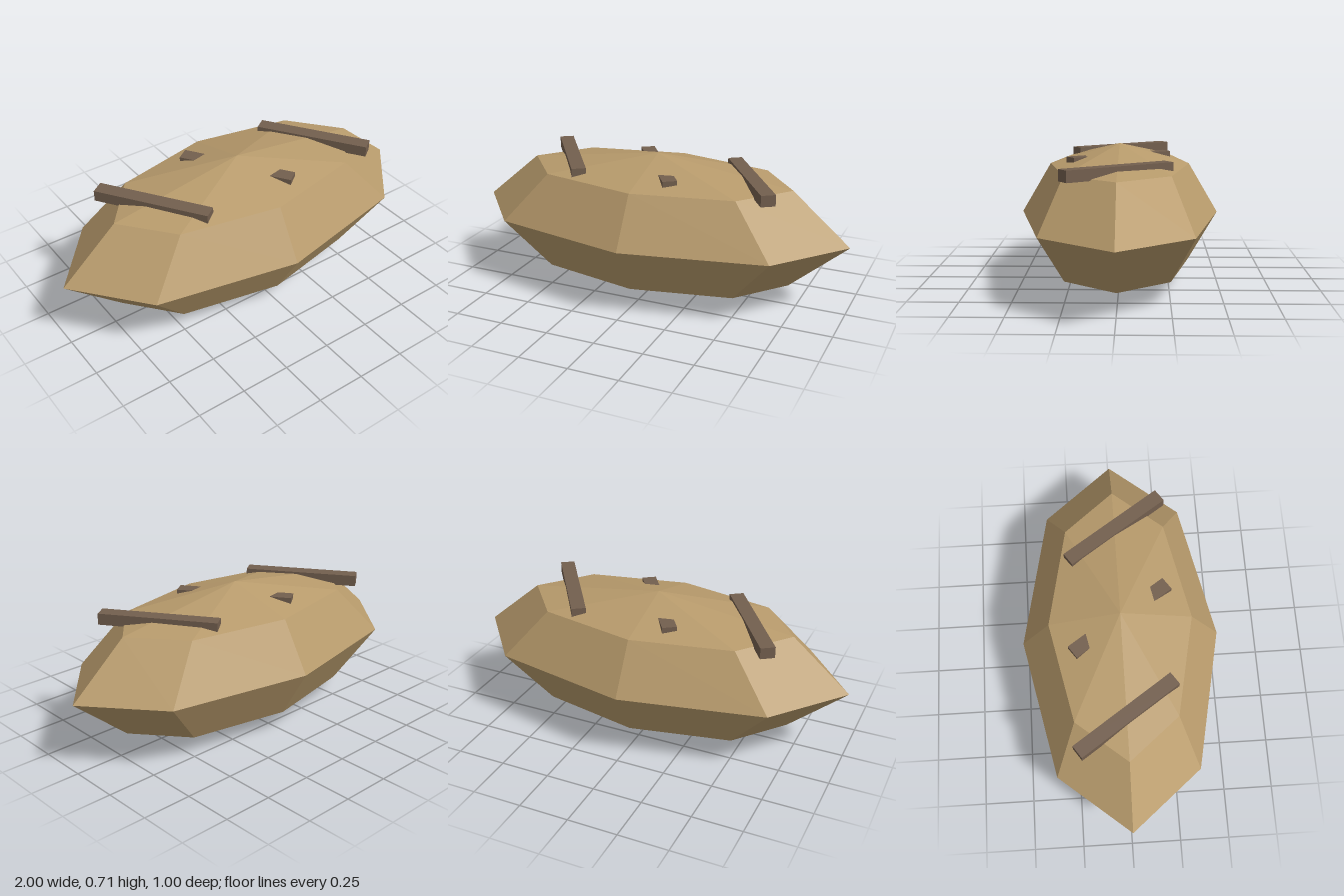
import * as THREE from 'three';

export function createModel() {
  const model = new THREE.Group();
  model.name = 'scoredLoaf';

  const crust = new THREE.MeshStandardMaterial({ color: 0xb89b6c });
  crust.name = 'crust tan';
  crust.flatShading = true;
  const score = new THREE.MeshStandardMaterial({ color: 0x735f4e });
  score.name = 'score brown';
  score.flatShading = true;

  // Faceted body: a coarse sphere squashed into an oval loaf
  const halfHeight = 0.3535;
  const bodyShape = new THREE.SphereGeometry(1, 8, 4);
  bodyShape.scale(1, halfHeight, 0.5);
  const body = new THREE.Mesh(bodyShape, crust);
  body.name = 'body';
  body.position.y = halfHeight;
  model.add(body);

  // Three slanted bars across the top, the middle one mostly sunk in
  const barShape = new THREE.BoxGeometry(0.072, 0.056, 0.585);
  ['rightBar', 'middleBar', 'leftBar'].forEach((name, i) => {
    const bar = new THREE.Mesh(barShape, score);
    bar.name = name;
    bar.position.set((i - 1) * 0.491, 0.624, 0);
    bar.rotation.y = 0.6;
    model.add(bar);
  });

  return model;
}
